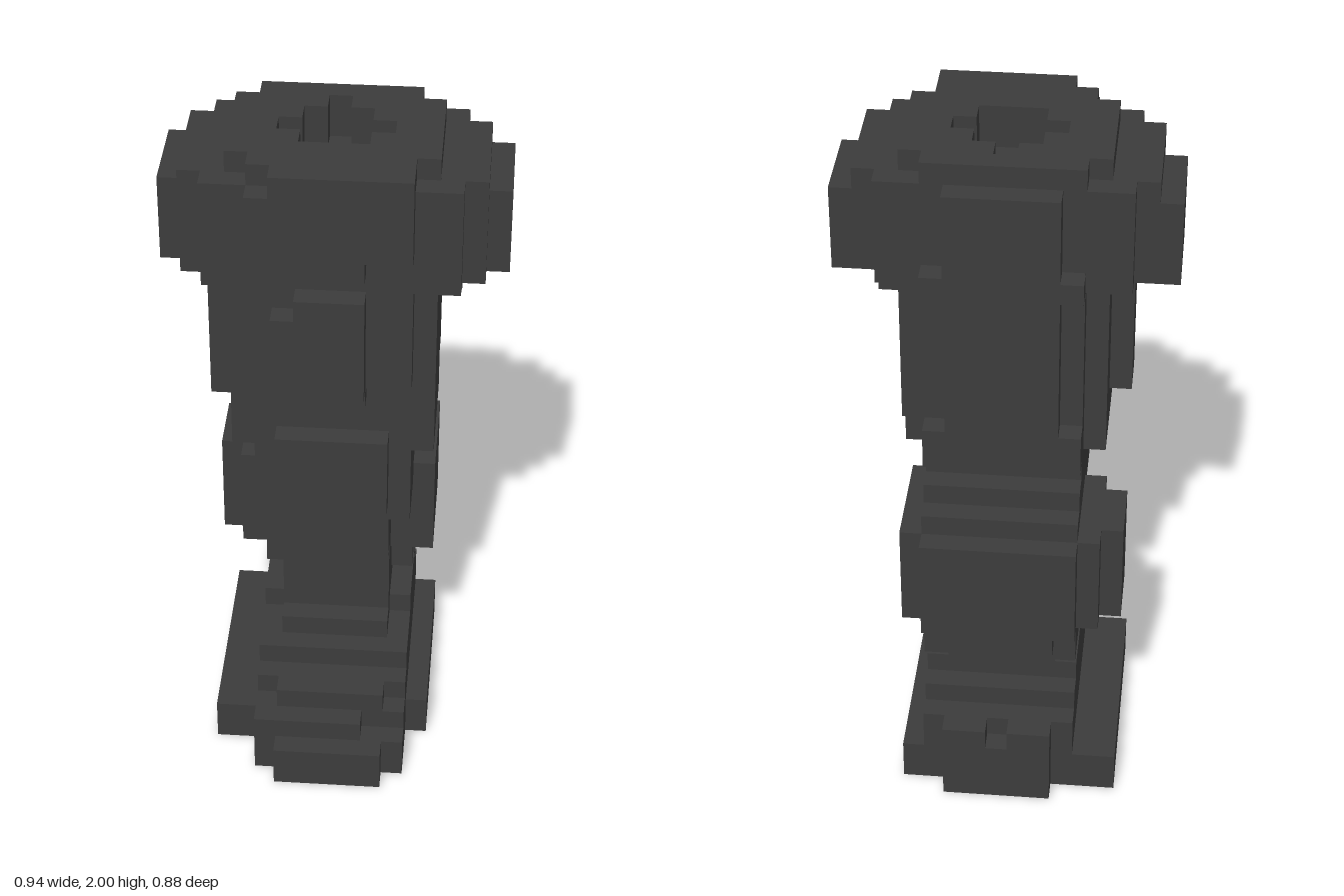
import * as THREE from 'three';

const U = 0.0625; // edge of one voxel

export function createModel() {
  const root = new THREE.Group();
  root.name = 'voxelLeg';
  const armor = new THREE.MeshStandardMaterial({ color: 0x3c3c3c });
  armor.name = 'charcoal';

  // Boxes in voxel units: [x0, x1, y0, y1, z0, z1]; x runs 0..15, z 0..14 back to front
  function part(name, boxes) {
    const group = new THREE.Group();
    group.name = name;
    for (const [x0, x1, y0, y1, z0, z1] of boxes) {
      const geo = new THREE.BoxGeometry((x1 - x0) * U, (y1 - y0) * U, (z1 - z0) * U);
      const mesh = new THREE.Mesh(geo, armor);
      mesh.name = name + 'Block';
      mesh.position.set(((x0 + x1) / 2 - 7.5) * U, ((y0 + y1) / 2) * U, ((z0 + z1) / 2 - 7) * U);
      group.add(mesh);
    }
    root.add(group);
  }

  // One horizontal layer from row spans [z0, z1, x0, x1], cut by the socket hole
  const hole = { 5: [7, 8], 6: [6, 9], 7: [5, 10], 8: [6, 9] };
  function layer(y, rows) {
    const boxes = [];
    for (const [z0, z1, x0, x1] of rows) {
      for (let z = z0; z < z1; z++) {
        const h = hole[z];
        if (h) boxes.push([x0, h[0], y, y + 1, z, z + 1], [h[1], x1, y, y + 1, z, z + 1]);
        else boxes.push([x0, x1, y, y + 1, z, z + 1]);
      }
    }
    return boxes;
  }

  part('foot', [
    [4, 12, 0, 2, 1, 10],
    [2, 4, 0, 2, 1, 11],
    [4, 11, 0, 2, 10, 13],
    [5, 10, 0, 2, 13, 14],
    // heel, notched at the top
    [5, 10, 0, 3, 0, 1], [5, 7, 3, 4, 0, 1], [8, 10, 3, 4, 0, 1],
    // instep steps
    [4, 11, 2, 3, 1, 12], [4, 9, 2, 3, 12, 13],
    [4, 11, 3, 4, 1, 11], [5, 10, 3, 4, 11, 12],
  ]);

  part('ankle', [
    [4, 11, 4, 5, 2, 10],
    [4, 11, 5, 6, 3, 7],
    [5, 10, 5, 6, 7, 9],
  ]);

  part('shin', [
    [5, 10, 6, 13, 3, 8],
    [4, 11, 13, 15, 3, 8],
    [6, 10, 10, 13, 8, 9], [5, 6, 11, 13, 8, 9],
  ]);

  part('calf', [
    [4, 11, 7, 9, 2, 6],
    [5, 10, 8, 9, 1, 2],
    [4, 11, 9, 14, 1, 2],
    [3, 12, 9, 14, 2, 7],
    [2, 3, 9, 14, 3, 6],
    [4, 11, 14, 15, 2, 7],
    [4, 11, 15, 16, 3, 7],
  ]);

  part('knee', [
    [4, 11, 14, 18, 4, 9],
    [4, 11, 13, 18, 8, 10],
    [5, 10, 14, 18, 10, 11],
  ]);

  part('thigh', [
    [3, 12, 17, 26, 5, 10],
    [4, 11, 17, 19, 4, 5],
    [4, 12, 19, 26, 4, 5],
    [2, 3, 19, 26, 7, 9],
    [12, 13, 25, 26, 5, 9],
    // raised front plate with a clipped corner
    [4, 11, 21, 27, 10, 11], [5, 9, 20, 21, 10, 11],
    [5, 9, 21, 25, 11, 12], [6, 9, 25, 26, 11, 12],
  ]);

  // Back ridge with small lugs on both edges
  part('backRidge', [
    [5, 10, 17, 31, 3, 4],
    ...[4, 10].flatMap((x) => [[x, x + 1, 17, 19, 3, 4], [x, x + 1, 26, 27, 3, 4]]),
  ]);

  part('hip', [
    [2, 13, 26, 30, 4, 11],
    [1, 14, 26, 30, 5, 10],
    [4, 11, 28, 30, 11, 12], [5, 9, 27, 28, 11, 12],
  ]);

  // Side knobs
  part('hipKnob', [[0, 1, 26, 30, 5, 9], [14, 15, 26, 30, 5, 9]]);

  part('hipSocketRim', [
    ...layer(30, [[4, 5, 2, 13], [5, 10, 1, 14], [10, 11, 2, 13], [11, 12, 4, 11]]),
    ...layer(31, [[4, 5, 4, 11], [5, 10, 3, 12], [10, 11, 4, 11], [11, 12, 5, 11]]),
  ]);

  return root;
}
